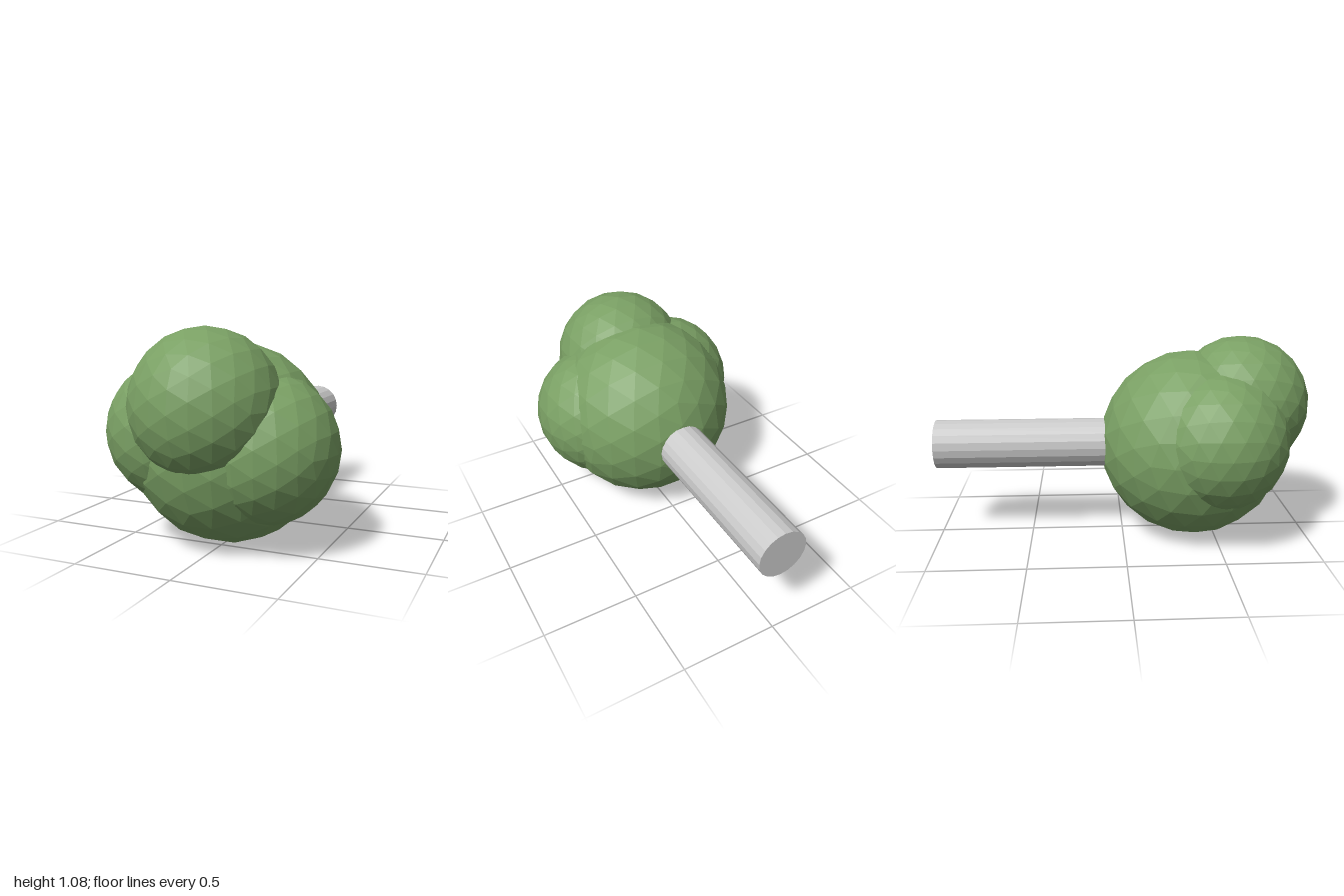
import * as THREE from 'three';

export function createModel() {
  const model = new THREE.Group();
  const leaf = new THREE.MeshStandardMaterial({ color: 0x7aa064, flatShading: true });
  const grey = new THREE.MeshStandardMaterial({ color: 0xcccccc, flatShading: true });

  // Faceted foliage clumps: name, radius, centre
  const clumps = [
    ['mainClump', 0.5, -0.005, 0.5, 0.38],
    ['upperFrontClump', 0.363, -0.005, 0.714, 0.637],
    ['leftClump', 0.37, 0.212, 0.497, 0.468],
    ['rightClump', 0.36, -0.223, 0.563, 0.495],
  ];
  for (const [name, radius, x, y, z] of clumps) {
    const clump = new THREE.Mesh(new THREE.IcosahedronGeometry(radius, 3), leaf);
    clump.name = name;
    clump.position.set(x, y, z);
    model.add(clump);
  }

  // Stem running back from inside the main clump
  const front = 0.2, back = -1;
  const stem = new THREE.Mesh(
    new THREE.CylinderGeometry(0.13, 0.13, front - back, 20).rotateX(Math.PI / 2), grey);
  stem.name = 'stem';
  stem.position.set(-0.007, 0.505, (front + back) / 2);
  model.add(stem);

  return model;
}
